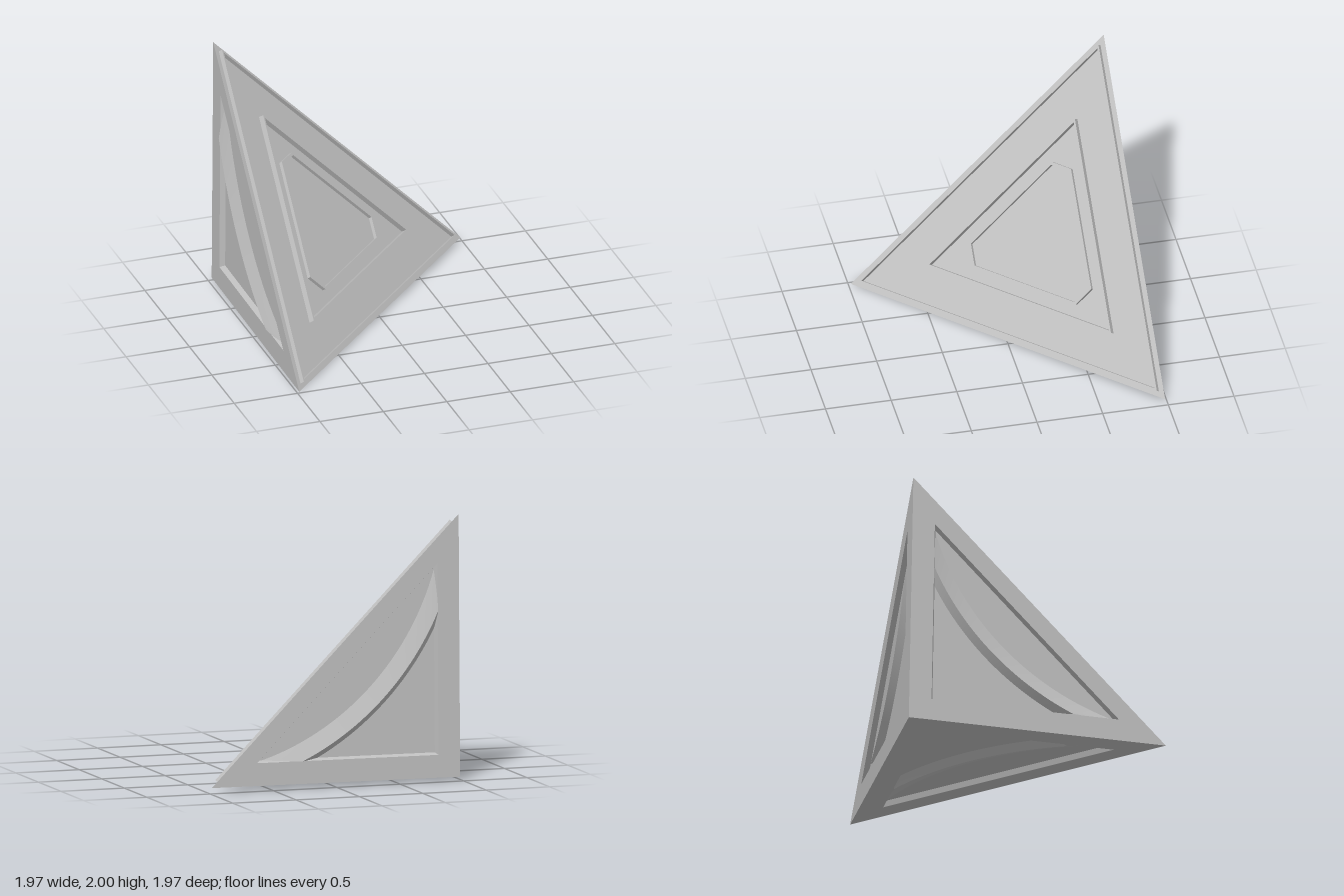
import * as THREE from 'three';

const grey = new THREE.MeshStandardMaterial({ color: 0xbfbfbf });
grey.name = 'plain grey';

// Corners of the wedge
const top = new THREE.Vector3(-0.98, 2, -0.945);
const front = new THREE.Vector3(-0.98, 0, 0.98);
const side = new THREE.Vector3(0.98, 0.04, -0.98);
const corner = new THREE.Vector3(-0.98, 0.03, -0.98);

const L = 1.96;        // leg length of the three inner faces
const IN = 0.17;       // frame width along the legs
const TIP = 1.6;       // far corners of the recess
const DEPTH = 0.04;    // recess depth

const v2 = (pts) => pts.map(([x, y]) => new THREE.Vector2(x, y));

function part(name, geometry) {
  const mesh = new THREE.Mesh(geometry, grey);
  mesh.name = name;
  return mesh;
}

// Strip of quads between two rows of points
function loft(a, b, flat = false) {
  const pos = [...a, ...b].flat();
  const index = [];
  const n = a.length;
  for (let i = 0; i < n - 1; i++) {
    index.push(i, n + i, i + 1, i + 1, n + i, n + i + 1);
  }
  let g = new THREE.BufferGeometry();
  g.setAttribute('position', new THREE.Float32BufferAttribute(pos, 3));
  g.setIndex(index);
  if (flat) g = g.toNonIndexed();
  g.computeVertexNormals();
  return g;
}

// Flat polygon, optionally with a hole, at height w
function plate(points, hole, w = 0) {
  const shape = new THREE.Shape(v2(points));
  if (hole) shape.holes.push(new THREE.Path(v2(hole)));
  return new THREE.ShapeGeometry(shape).translate(0, 0, w);
}

// Arc across the recess, bowed towards the corner
function arc(R, w) {
  const c = 2.13, reach = c - IN, pts = [];
  const t0 = Math.acos(reach / R), t1 = Math.asin(reach / R);
  for (let i = 0; i <= 32; i++) {
    const t = t0 + (t1 - t0) * i / 32;
    pts.push([c - R * Math.cos(t), c - R * Math.sin(t), w]);
  }
  return pts;
}

// One framed inner face with a recess and a curved band
function innerFace(name, P, Q) {
  const u = P.clone().sub(corner).divideScalar(L);
  const v = Q.clone().sub(corner).divideScalar(L);
  const w = u.clone().cross(v).normalize();
  const m = new THREE.Matrix4().makeBasis(u, v, w).setPosition(corner);

  const rim = [[IN, IN], [IN, TIP], [TIP, IN]];
  const a = IN + 0.015, b = TIP - 0.035;
  const floor = [[a, a], [a, b], [b, a]];
  const closed = (pts, h) => [...pts, pts[0]].map(([x, y]) => [x, y, h]);
  const R1 = Math.hypot(2.13 - TIP, 2.13 - IN);
  const ridge = arc(R1 + 0.12, 0.012);

  const pieces = {
    Frame: plate([[0, 0], [L, 0], [0, L]], rim),
    RecessWall: loft(closed(rim, 0), closed(floor, -DEPTH), true),
    RecessFloor: plate(floor, null, -DEPTH),
    CurvedBand: loft(arc(R1, -DEPTH), ridge),
    CurvedBandEdge: loft(ridge, arc(R1 + 0.165, -DEPTH)),
  };
  const group = new THREE.Group();
  group.name = name;
  for (const [key, g] of Object.entries(pieces)) {
    g.applyMatrix4(m);
    group.add(part(name + key, g));
  }
  return group;
}

// Large sloping face with three raised outline ribs
function slopingFace() {
  const centre = top.clone().add(front).add(side).divideScalar(3);
  const ex = side.clone().sub(front).normalize();
  const n = ex.clone().cross(top.clone().sub(front)).normalize();
  const ey = n.clone().cross(ex);
  const m = new THREE.Matrix4().makeBasis(ex, ey, n).setPosition(centre);
  const tri = [front, side, top].map((p) => {
    const d = p.clone().sub(centre);
    return [d.dot(ex), d.dot(ey)];
  });

  // Triangle scaled about its centre, with corners cut by a fraction
  const outline = (s, cut) => tri.flatMap((p, i) => {
    const q = tri[(i + 2) % 3], r = tri[(i + 1) % 3];
    const mix = (o) => [0, 1].map((k) => s * (p[k] + (o[k] - p[k]) * cut));
    return cut ? [mix(q), mix(r)] : [[p[0] * s, p[1] * s]];
  });
  const rib = (s, cut, height) => {
    const shape = new THREE.Shape(v2(outline(s, cut)));
    shape.holes.push(new THREE.Path(v2(outline(s - 0.017, cut))));
    return new THREE.ExtrudeGeometry(shape, { depth: height, bevelEnabled: false });
  };

  const group = new THREE.Group();
  group.name = 'slopingFace';
  const pieces = {
    slopingPanel: plate(tri),
    outerRib: rib(0.95, 0, 0.033),
    middleRib: rib(0.588, 0, 0.042),
    innerRib: rib(0.453, 0.136, 0.026),
  };
  for (const [key, g] of Object.entries(pieces)) {
    g.applyMatrix4(m);
    group.add(part(key, g));
  }
  return group;
}

export function createModel() {
  const model = new THREE.Group();
  model.name = 'cornerWedge';
  model.add(
    slopingFace(),
    innerFace('back', top, side),
    innerFace('rightSide', front, top),
    innerFace('bottom', side, front),
  );
  return model;
}
